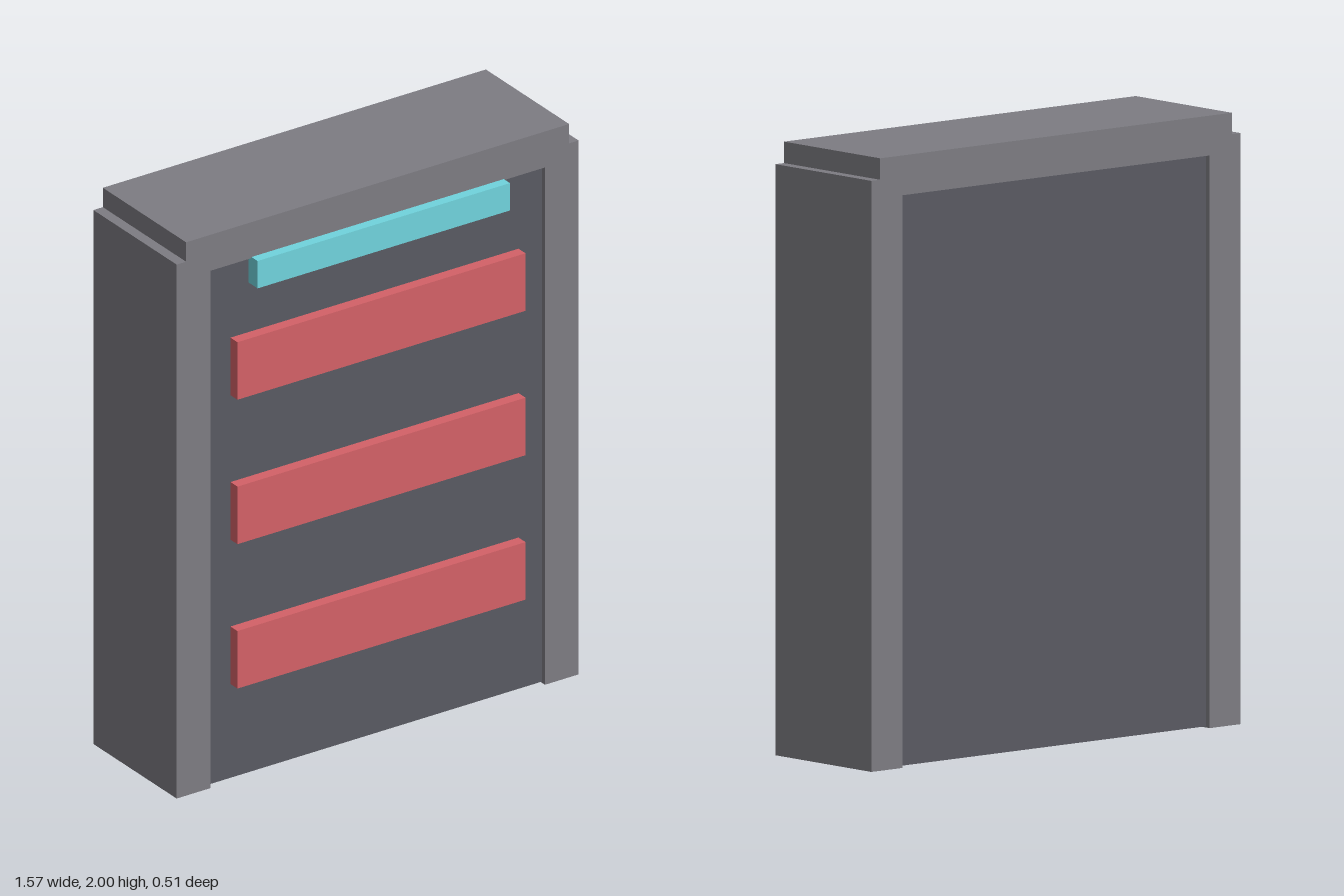
import * as THREE from 'three';

export function createModel() {
  const group = new THREE.Group();
  const material = (color) => new THREE.MeshStandardMaterial({ color });
  const frameMat = material(0x7d7c82);
  const panelMat = material(0x595a62);
  const redMat = material(0xd36167);
  const cyanMat = material(0x70d4dd);

  // Box given by its extents along each axis
  function box(name, mat, [x0, x1], [y0, y1], [z0, z1]) {
    const mesh = new THREE.Mesh(new THREE.BoxGeometry(x1 - x0, y1 - y0, z1 - z0), mat);
    mesh.position.set((x0 + x1) / 2, (y0 + y1) / 2, (z0 + z1) / 2);
    mesh.name = name;
    group.add(mesh);
  }

  const back = -0.255, front = 0.22, recess = 0.018;
  const outer = 0.787, inner = 0.655, lintelHalf = 0.75;
  const postTop = 1.93, openingTop = 1.87;

  // Door frame: two posts, and a lintel that rises above them in a step
  box('leftPost', frameMat, [inner, outer], [0, postTop], [back, front]);
  box('rightPost', frameMat, [-outer, -inner], [0, postTop], [back, front]);
  box('lintel', frameMat, [-inner, inner], [openingTop, postTop], [back, front]);
  box('lintelCap', frameMat, [-lintelHalf, lintelHalf], [postTop, 2], [back, front]);

  // Door panel, set back slightly on both faces
  const panelFront = front - recess;
  box('doorPanel', panelMat, [-inner, inner], [0.004, openingTop], [back + recess, panelFront]);

  // Three red bars across the front
  for (const y of [0.447, 0.969, 1.491]) {
    box('redBar', redMat, [-0.564, 0.564], [y - 0.104, y + 0.104], [panelFront, 0.242]);
  }

  // Light strip under the lintel
  box('lightStrip', cyanMat, [-0.494, 0.494], [1.775, 1.874], [panelFront, 0.255]);

  return group;
}
